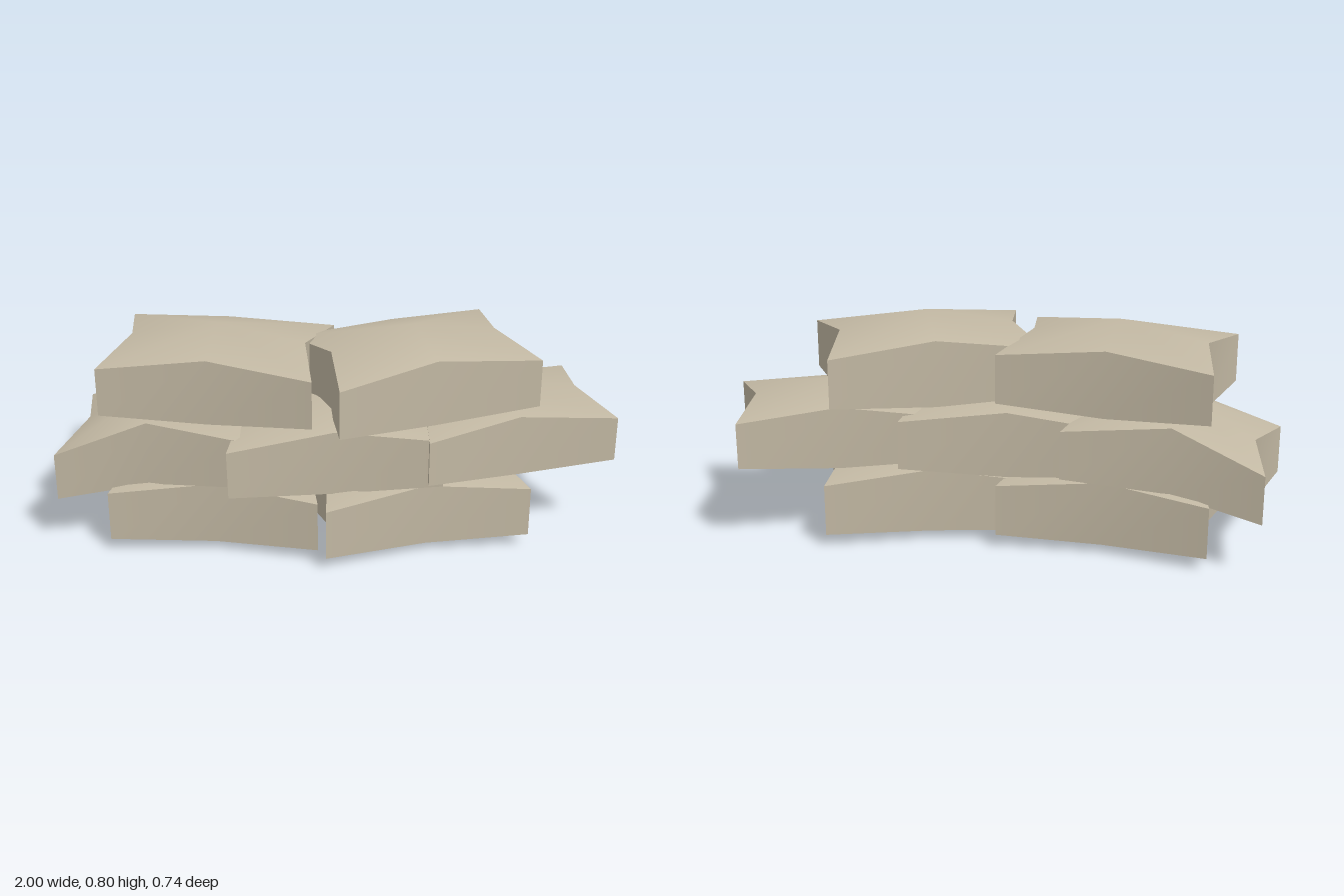
import * as THREE from 'three';

const W = 0.375, D = 0.255; // half length and half depth of one sandbag

// Pillow-like bag: pinched sides, sharp corners, raised centre
function bagGeometry({ up = 0.18, down = 0.18, low = 0.0875, lowMid = 0.12, curl = false }) {
  const geo = new THREE.BoxGeometry(2, 2, 2, 2, 1, 2);
  const p = geo.attributes.position, idx = geo.index.array;

  // Turn the diagonals on top and bottom so they run from the centre to the corners
  const isCentre = (i) => p.getX(i) === 0 && p.getZ(i) === 0;
  for (let k = 0; k < idx.length; k += 6) {
    const [a, b, d, , c] = idx.slice(k, k + 6);
    if (isCentre(a) || isCentre(c)) [a, b, c, a, c, d].forEach((v, j) => { idx[k + j] = v; });
  }

  for (let i = 0; i < p.count; i++) {
    const x = p.getX(i), y = p.getY(i), z = p.getZ(i);
    const rim = Math.abs(x) + Math.abs(z); // 0 centre, 1 edge middle, 2 corner
    const h = y > 0 ? [up, 0.12, 0.0875][rim] : -[down, lowMid, low][rim];
    const sag = curl && x < 0; // one end droops
    p.setXYZ(i,
      x * (z === 0 ? W - 0.064 : W) + (sag ? 0.05 : 0),
      h - (sag ? 0.0875 : 0),
      z * (x === 0 ? D - 0.05 : D));
  }
  geo.computeVertexNormals();
  return geo;
}

export function createModel() {
  const group = new THREE.Group();
  group.name = 'sandbagWall';
  const material = new THREE.MeshStandardMaterial({ color: 0xc2b8a3 });

  // The lowest row is flattened underneath
  const flat = { low: 0.099, lowMid: 0.114, down: 0.146 };
  const bags = [
    // name, x, y, z, turn and tilt in degrees, scale, shape
    ['bottomRightBag', -0.415, 0.149, -0.03, -7.4, 0, 1, flat],
    ['bottomLeftBag', 0.268, 0.149, 0.004, 11.6, 0, 1, flat],
    ['middleRightBag', -0.645, 0.375, -0.065, -8, 0, 1, { curl: true }],
    ['middleCentreBag', -0.028, 0.373, 0.019, 3.6, 0.9, 1, {}],
    ['middleLeftBag', 0.592, 0.3885, -0.052, 14.8, 0, 0.945, { up: 0.171, down: 0.194 }],
    ['topRightBag', -0.42, 0.6245, -0.03, -9.7, 0, 1, {}],
    ['topLeftBag', 0.27, 0.6245, 0.002, 19, 0, 1, {}],
  ];
  for (const [name, x, y, z, turn, tilt, scale, shape] of bags) {
    const bag = new THREE.Mesh(bagGeometry(shape), material);
    bag.name = name;
    bag.position.set(x, y, z);
    bag.rotation.set(0, THREE.MathUtils.degToRad(turn), THREE.MathUtils.degToRad(tilt));
    bag.scale.setScalar(scale);
    group.add(bag);
  }
  return group;
}
